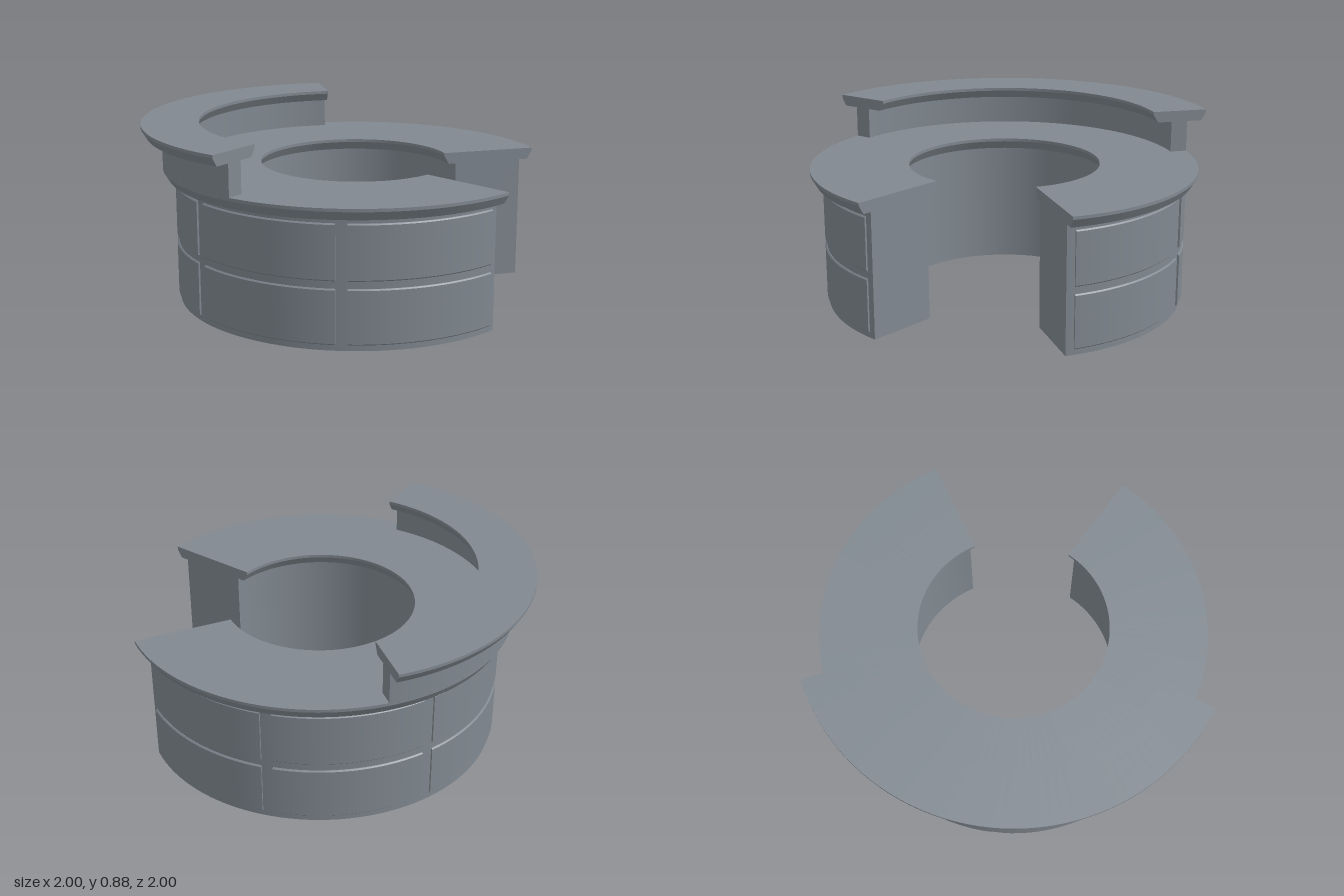
import * as THREE from 'three';

const CX = 0.05, CZ = 0.045; // common centre of all rings
const RAD = Math.PI / 180;

// Sweeps a convex counter-clockwise [radius, height] profile from angle a0 to a1 (degrees, +x towards +z)
function arcSweep(profile, a0, a1) {
  const pos = [], nor = [];
  const steps = Math.max(2, Math.ceil((a1 - a0) / 3));
  const put = (p, a, nr, ny) => {
    const c = Math.cos(a), s = Math.sin(a);
    pos.push(p[0] * c, p[1], p[0] * s);
    nor.push(nr * c, ny, nr * s);
  };
  // curved faces, smooth around the arc and sharp across the profile
  profile.forEach((p, i) => {
    const q = profile[(i + 1) % profile.length];
    const len = Math.hypot(q[0] - p[0], q[1] - p[1]);
    const nr = (q[1] - p[1]) / len, ny = (p[0] - q[0]) / len;
    for (let k = 0; k < steps; k++) {
      const a = (a0 + (a1 - a0) * k / steps) * RAD;
      const b = (a0 + (a1 - a0) * (k + 1) / steps) * RAD;
      [[p, a], [q, a], [p, b], [q, a], [q, b], [p, b]].forEach(([v, t]) => put(v, t, nr, ny));
    }
  });
  // flat end caps
  [[a0 * RAD, -1], [a1 * RAD, 1]].forEach(([a, side]) => {
    for (let i = 1; i < profile.length - 1; i++) {
      const tri = [profile[0], profile[i], profile[i + 1]];
      if (side < 0) tri.reverse();
      tri.forEach((p) => {
        pos.push(p[0] * Math.cos(a), p[1], p[0] * Math.sin(a));
        nor.push(-Math.sin(a) * side, 0, Math.cos(a) * side);
      });
    }
  });
  const g = new THREE.BufferGeometry();
  g.setAttribute('position', new THREE.Float32BufferAttribute(pos, 3));
  g.setAttribute('normal', new THREE.Float32BufferAttribute(nor, 3));
  return g;
}

const box = (r0, r1, y0, y1) => [[r0, y0], [r1, y0], [r1, y1], [r0, y1]];

// Slab whose lower edges are chamfered inwards
const slab = (r0, r1, y0, y1) => [
  [r0 + 0.025, y0], [r1 - 0.025, y0], [r1, y1 - 0.015], [r1, y1], [r0, y1], [r0, y1 - 0.015],
];

export function createModel() {
  const group = new THREE.Group();
  group.name = 'curvedCounter';
  const grey = new THREE.MeshStandardMaterial({ color: 0x808890 });
  grey.name = 'slateGrey';

  const add = (name, profile, a0, a1) => {
    const mesh = new THREE.Mesh(arcSweep(profile, a0, a1), grey);
    mesh.name = name;
    mesh.position.set(CX, 0, CZ);
    group.add(mesh);
  };

  // main desk
  const start = 65.3, end = 364.9;
  add('counterBody', box(0.532, 0.882, 0, 0.615), start, end);
  add('counterTop', slab(0.47, 0.95, 0.615, 0.672), start, end);

  // raised shelf on its riser
  add('shelfRiser', box(0.867, 0.95, 0.672, 0.827), 147.3, 279.9);
  add('shelfTop', slab(0.77, 1.05, 0.827, 0.882), 147.3, 279.9);

  // two rows of six raised panels around the outside
  for (const [y0, y1] of [[0.028, 0.29], [0.325, 0.588]]) {
    for (let i = 0; i < 6; i++) {
      const a = 67.5 + i * 49.72;
      add('frontPanel', [[0.88, y0], [0.885, y0], [0.891, y0 + 0.006], [0.891, y1 - 0.006], [0.885, y1], [0.88, y1]], a, a + 46.2);
    }
  }
  return group;
}
